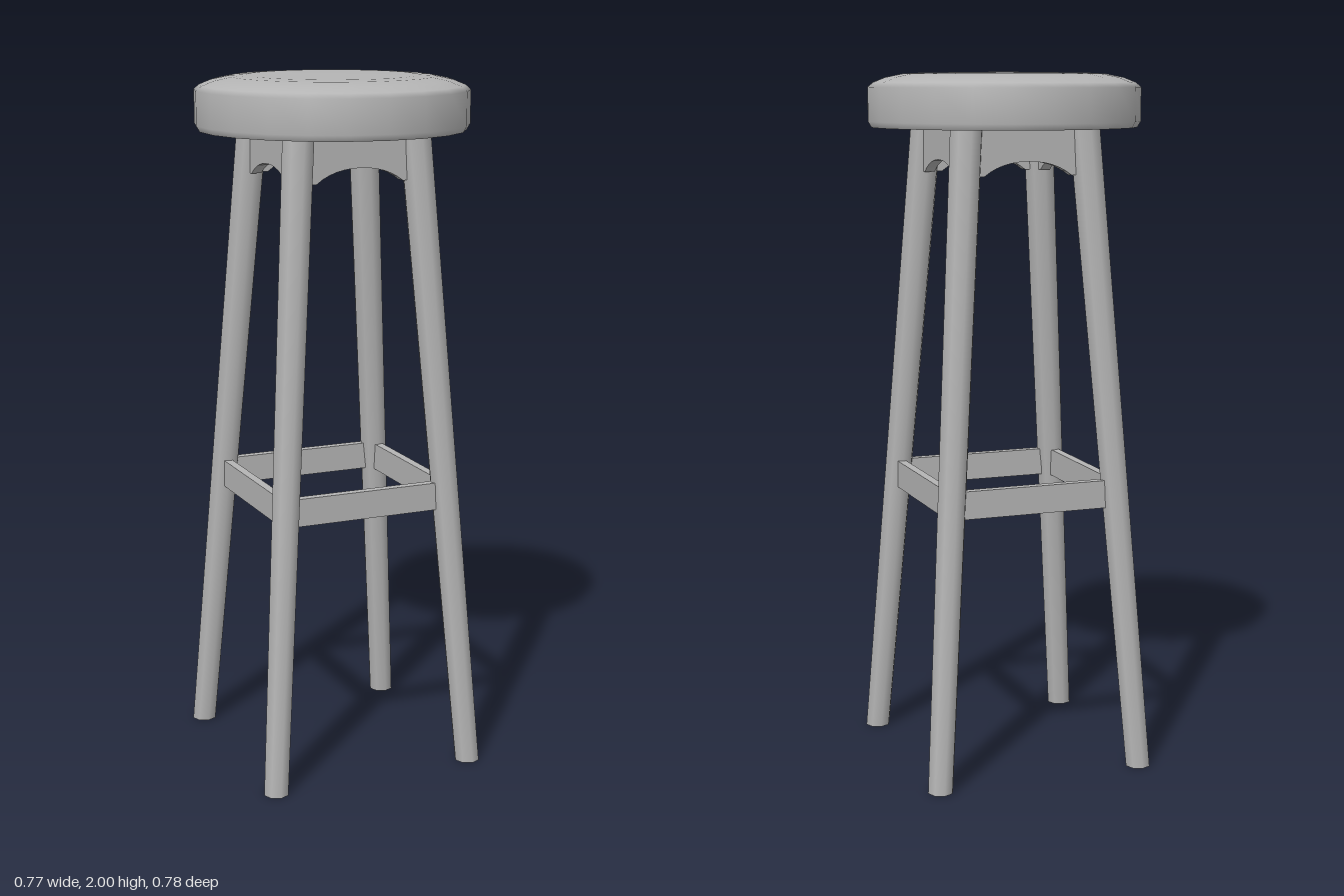
import * as THREE from 'three';

export function createModel() {
  const stool = new THREE.Group();
  stool.name = 'stool';
  const grey = new THREE.MeshStandardMaterial({ color: 0xb4b4b4 });
  grey.name = 'plain grey';

  const add = (name, geometry, parent = stool) => {
    const mesh = new THREE.Mesh(geometry, grey);
    mesh.name = name;
    parent.add(mesh);
    return mesh;
  };

  // Round seat: the doubled point keeps the lower edge sharp
  const profile = [
    [0, 1.845], [0.38, 1.845], [0.38, 1.845], [0.39, 1.862], [0.39, 1.957],
    [0.375, 1.97], [0.34, 1.984], [0.29, 1.994], [0.24, 1.997], [0, 2],
  ].map(([r, y]) => new THREE.Vector2(r, y));
  const seat = new THREE.LatheGeometry(profile, 22);
  seat.normalizeNormals();
  add('seat', seat);

  // Tapered leg, sheared so that it leans while both ends stay level
  const legHeight = 1.85, foot = 0.305, head = 0.175;
  function legGeometry(sx, sz) {
    const geometry = new THREE.CylinderGeometry(0.047, 0.037, legHeight, 8);
    geometry.translate(0, legHeight / 2, 0);
    const slope = (head - foot) / legHeight;
    geometry.applyMatrix4(new THREE.Matrix4().set(
      1, sx * slope, 0, sx * foot,
      0, 1, 0, 0,
      0, sz * slope, 1, sz * foot,
      0, 0, 0, 1));
    return geometry;
  }
  for (const [x, z, name] of [
    [1, 1, 'frontLeftLeg'], [-1, 1, 'frontRightLeg'],
    [1, -1, 'backLeftLeg'], [-1, -1, 'backRightLeg'],
  ]) add(name, legGeometry(x, z));

  // Arched apron board under the seat
  const arch = new THREE.Shape();
  arch.moveTo(-0.165, 1.85);
  arch.lineTo(-0.165, 1.715);
  arch.lineTo(-0.13, 1.715);
  arch.quadraticCurveTo(-0.08, 1.755, 0, 1.755);
  arch.quadraticCurveTo(0.08, 1.755, 0.13, 1.715);
  arch.lineTo(0.165, 1.715);
  arch.lineTo(0.165, 1.85);
  const apron = new THREE.ExtrudeGeometry(arch, { depth: 0.03, bevelEnabled: false, curveSegments: 6 });
  apron.translate(0, 0, 0.165);

  // Footrest rail
  const rail = new THREE.BoxGeometry(0.43, 0.08, 0.025);
  rail.translate(0, 0.81, 0.248);

  // One apron and one rail on each side
  ['front', 'left', 'back', 'right'].forEach((side, i) => {
    const group = new THREE.Group();
    group.name = side + 'Braces';
    group.rotation.y = i * Math.PI / 2;
    add(side + 'Apron', apron, group);
    add(side + 'Footrest', rail, group);
    stool.add(group);
  });

  return stool;
}
